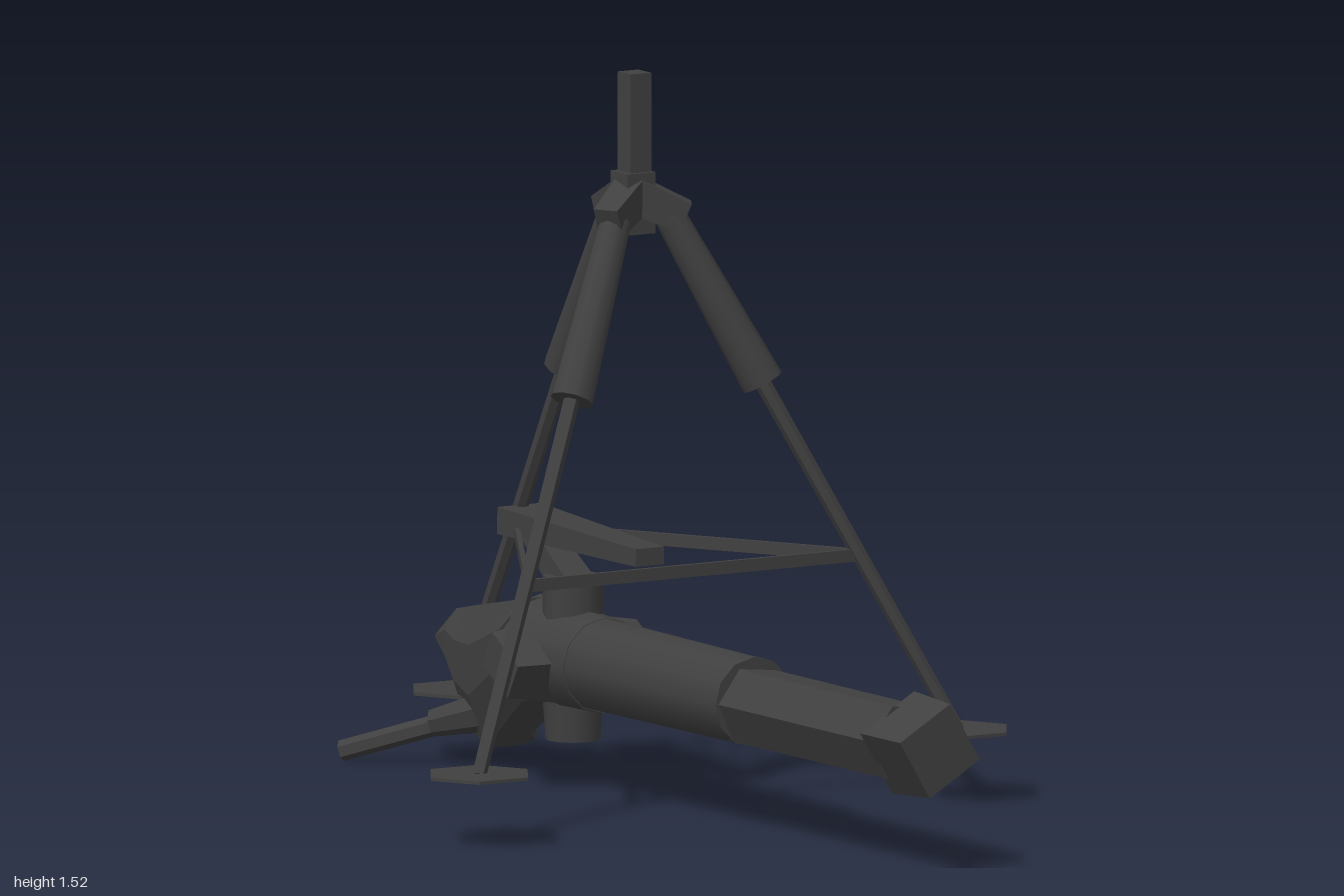
import * as THREE from 'three';

const V = (x, y, z) => new THREE.Vector3(x, y, z);

export function createModel() {
  const model = new THREE.Group();
  model.name = 'tripodGun';
  const gunmetal = new THREE.MeshStandardMaterial({ color: 0x404040 });
  gunmetal.name = 'gunmetal';

  const add = (name, geometry) => {
    const mesh = new THREE.Mesh(geometry, gunmetal);
    mesh.name = name;
    model.add(mesh);
    return mesh;
  };

  const faceted = (geometry) => {
    const flat = geometry.toNonIndexed();
    flat.computeVertexNormals();
    return flat;
  };

  // Tapered prism from a to b, round from ten sides up; sx and sy flatten its cross-section
  const rod = (name, a, b, ra, rb, sides, twist = 0, sx = 1, sy = 1) => {
    const g = new THREE.CylinderGeometry(rb, ra, a.distanceTo(b), sides);
    g.rotateY(twist);
    g.rotateX(Math.PI / 2);
    g.scale(sx, sy, 1);
    const mesh = add(name, sides < 10 ? faceted(g) : g);
    mesh.position.copy(a).add(b).multiplyScalar(0.5);
    mesh.lookAt(b);
    return mesh;
  };

  // Rectangular bar, w wide and h high at its start, tapered by k
  const bar = (name, a, b, w, h, k = 1) =>
    rod(name, a, b, Math.SQRT1_2, Math.SQRT1_2 * k, 4, Math.PI / 4, w, h);

  // Tripod head
  const headZ = -0.206;
  bar('headPost', V(0.003, 1.25, headZ), V(0.003, 1.53, headZ), 0.051, 0.051);
  bar('headCollar', V(0, 1.195, headZ), V(0, 1.323, headZ), 0.068, 0.068);

  // Three legs, with a socket, sleeve, rod and foot each
  const angles = [Math.PI / 6, Math.PI * 5 / 6, -Math.PI / 2];
  const polar = (angle, r, y) => V(r * Math.cos(angle), y, headZ + r * Math.sin(angle));
  for (const angle of angles) {
    const p = (r, y) => polar(angle, r, y);
    bar('legSocket', p(0, 1.275), p(0.108, 1.228), 0.065, 0.075, 0.85);
    rod('legSleeve', p(0.075, 1.23), p(0.268, 0.88), 0.033, 0.045, 10);
    rod('legRod', p(0.262, 0.89), p(0.672, 0.15), 0.017, 0.015, 6);
    const foot = add('footPlate', faceted(new THREE.CylinderGeometry(0.116, 0.116, 0.007, 6)));
    foot.position.copy(p(0.672, 0.151));
    foot.rotation.y = 0.5;
  }

  // Spreader bars between the legs
  angles.forEach((angle, i) => {
    const next = angles[(i + 1) % 3];
    bar('spreaderBar', polar(angle, 0.46, 0.518), polar(next, 0.46, 0.518), 0.011, 0.026);
  });

  // Barrel, along z
  const y = 0.267;
  rod('muzzle', V(0, y, 0.855), V(0, y, 1), 0.108, 0.1, 4, -0.25);
  rod('frontBarrel', V(0, y, 0.25), V(0, y, 0.87), 0.087, 0.087, 6, 0.42);
  rod('rearBarrel', V(0, 0.275, -0.34), V(0, 0.275, 0.27), 0.098, 0.094, 12);
  rod('receiver', V(0, 0.277, -0.57), V(0, 0.274, -0.32), 0.115, 0.1, 12);

  // Tail: loops of [z, top, bottom, half width]
  const sections = [
    [-0.55, 0.388, 0.175, 0.112],
    [-0.717, 0.355, 0.053, 0.085],
    [-0.81, 0.336, 0.096, 0.064],
    [-0.862, 0.325, 0.17, 0.052],
    [-0.925, 0.268, 0.25, 0.036],
  ];
  const outline = [[0.45, 1], [1, 0.45], [1, -0.25], [0.5, -1], [-0.5, -1], [-1, -0.25], [-1, 0.45], [-0.45, 1]];
  const n = outline.length;
  const points = [], faces = [];
  for (const [z, top, bottom, w] of sections) {
    for (const [u, v] of outline) points.push(u * w, (top + bottom) / 2 + v * (top - bottom) / 2, z);
  }
  for (let s = 0; s < sections.length - 1; s++) {
    for (let j = 0; j < n; j++) {
      const a = s * n + j, b = s * n + (j + 1) % n;
      faces.push(a, b, a + n, b, b + n, a + n);
    }
  }
  const last = (sections.length - 1) * n;
  for (let j = 1; j < n - 1; j++) {
    faces.push(0, j + 1, j);
    faces.push(last, last + j, last + j + 1);
  }
  const tail = new THREE.BufferGeometry();
  tail.setAttribute('position', new THREE.Float32BufferAttribute(points, 3));
  tail.setIndex(faces);
  add('tail', faceted(tail));

  // Cradle: vertical drum, bracket and top arm
  rod('cradleDrum', V(0, 0.2, -0.442), V(0, 0.447, -0.442), 0.063, 0.063, 12);
  rod('cradleFoot', V(0, 0.25, -0.442), V(0, 0.105, -0.442), 0.067, 0.057, 12);
  bar('cradleBracket', V(0, 0.42, -0.43), V(0, 0.535, -0.6), 0.07, 0.06, 0.8);
  bar('topArm', V(0, 0.538, -0.655), V(0, 0.525, -0.14), 0.105, 0.057, 0.65);

  for (const side of [1, -1]) {
    // Tilted side trunnions
    const trunnion = bar('trunnion', V(side * 0.06, 0.272, -0.446), V(side * 0.175, 0.272, -0.446), 0.15, 0.105, 0.78);
    trunnion.rotateZ(side * Math.PI / 6);
    // Rear grips
    rod('gripRoot', V(side * 0.02, 0.135, -0.71), V(side * 0.09, 0.095, -0.84), 0.047, 0.03, 7);
    rod('grip', V(side * 0.07, 0.098, -0.815), V(side * 0.226, 0.027, -0.987), 0.022, 0.022, 6);
  }

  return model;
}
